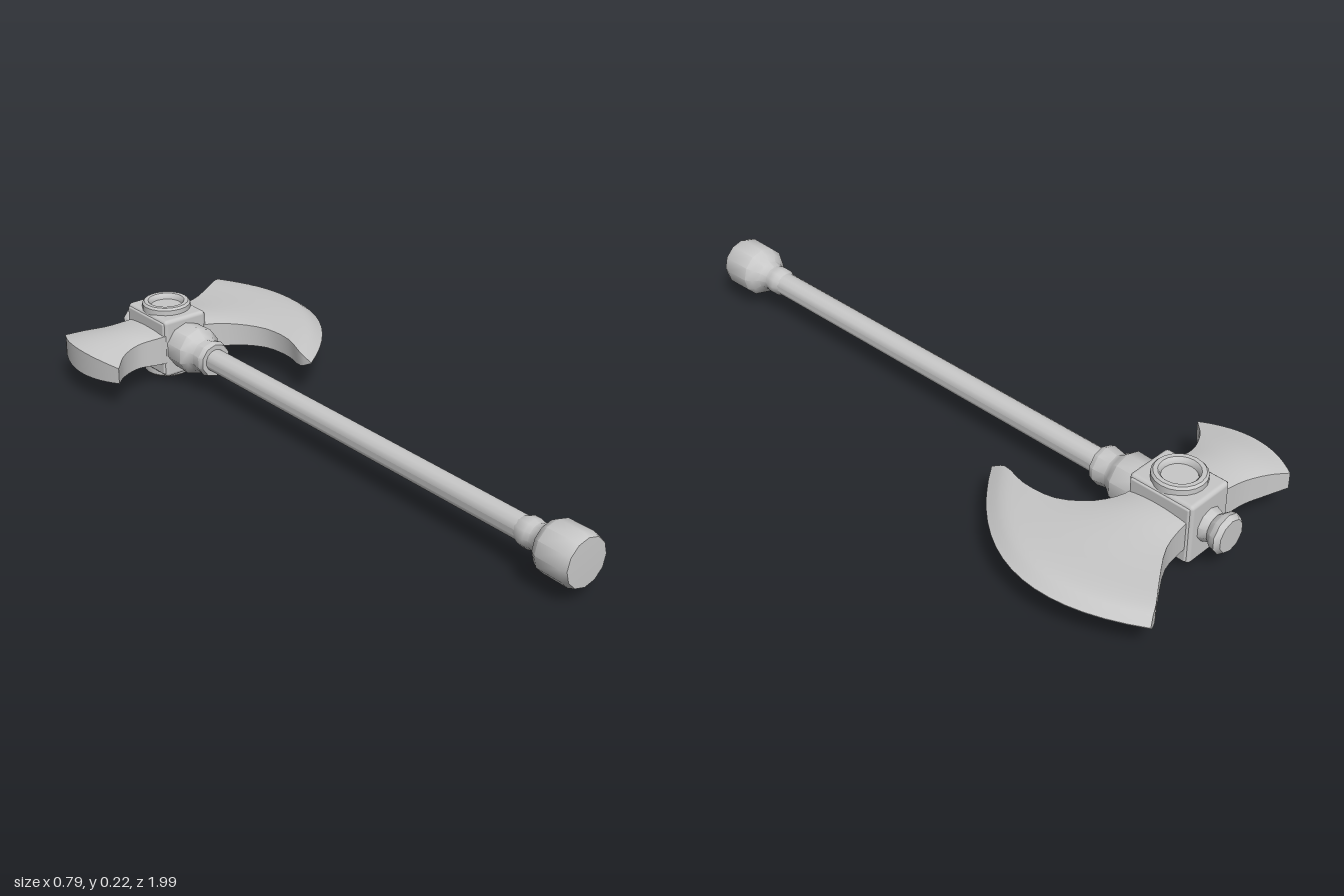
import * as THREE from 'three';
import { toCreasedNormals } from 'three/addons/utils/BufferGeometryUtils.js';
import { RoundedBoxGeometry } from 'three/addons/geometries/RoundedBoxGeometry.js';

const MID_Y = 0.1125;

// Turned part along local z; profile rows are [radius, z]
function turned(profile, sides) {
  const pts = profile.map(([r, s]) => new THREE.Vector2(r, s));
  const g = new THREE.LatheGeometry(pts, sides);
  g.rotateX(Math.PI / 2);
  return toCreasedNormals(g, 0.7);
}

// Blade lofted smoothly from root to edge.
// Section: [upper x,z, middle x,z, lower x,z, half thickness at middle, at rims]
function blade(sections, flip) {
  const n = 16, steps = 18, ring = 2 * (n + 1), pos = [], idx = [];
  // guide lines through the sections, with the half thickness as third coordinate
  const guide = (c, h) => new THREE.CatmullRomCurve3(
    sections.map((s) => new THREE.Vector3(s[c], s[c + 1], s[h])));
  const upper = guide(0, 7), middle = guide(2, 6), lower = guide(4, 7);
  for (let i = 0; i <= steps; i++) {
    const u = upper.getPoint(i / steps), m = middle.getPoint(i / steps), l = lower.getPoint(i / steps);
    const bend = m.clone().multiplyScalar(2).addScaledVector(u, -0.5).addScaledVector(l, -0.5);
    const curve = new THREE.QuadraticBezierCurve3(u, bend, l);
    for (let k = 0; k < ring; k++) {
      const top = k <= n, t = (top ? k : ring - 1 - k) / n;
      const p = curve.getPoint(t);
      pos.push(p.x, top ? p.z : -p.z, p.y);
    }
  }
  const tri = (a, b, c) => (flip ? idx.push(a, c, b) : idx.push(a, b, c));
  const quad = (a, b, c, d) => { tri(a, b, c); tri(a, c, d); };
  for (let i = 0; i < steps; i++) {
    for (let k = 0; k < ring; k++) {
      const a = i * ring + k, b = i * ring + (k + 1) % ring;
      quad(a, b, b + ring, a + ring);
    }
  }
  // close the outer end
  const e = steps * ring;
  for (let j = 0; j < n; j++) quad(e + j, e + j + 1, e + ring - 2 - j, e + ring - 1 - j);
  const g = new THREE.BufferGeometry();
  g.setAttribute('position', new THREE.Float32BufferAttribute(pos, 3));
  g.setIndex(idx);
  return toCreasedNormals(g, 0.8);
}

export function createModel() {
  const model = new THREE.Group();
  model.name = 'battleAxe';
  const steel = new THREE.MeshStandardMaterial({ color: 0xc8c8c8 });
  steel.name = 'plain grey';
  const add = (parent, name, geometry) => {
    const m = new THREE.Mesh(geometry, steel);
    m.name = name;
    parent.add(m);
    return m;
  };

  // Handle and head block share one tilted axis, origin at the block centre
  const shaft = new THREE.Group();
  shaft.name = 'shaftAndHead';
  shaft.position.set(-0.085, MID_Y, -0.685);
  shaft.rotation.y = 0.231;
  model.add(shaft);

  add(shaft, 'handle', turned([[0.035, 0.1], [0.035, 1.56]], 14));
  add(shaft, 'pommel', turned([
    [0.034, 1.5], [0.042, 1.52], [0.042, 1.54], [0.038, 1.555], [0.045, 1.578],
    [0.062, 1.59], [0.074, 1.61], [0.075, 1.69], [0.068, 1.709], [0, 1.711]], 12));
  add(shaft, 'collar', turned([
    [0.07, 0.08], [0.073, 0.165], [0.058, 0.185], [0.05, 0.2],
    [0.056, 0.235], [0.05, 0.25], [0.03, 0.25]], 10));
  add(shaft, 'endCap', turned([
    [0, -0.168], [0.046, -0.168], [0.057, -0.155], [0.054, -0.14],
    [0.04, -0.122], [0.048, -0.1], [0.048, -0.08]], 10));
  add(shaft, 'headBlock', new RoundedBoxGeometry(0.148, 0.182, 0.2, 2, 0.012));

  // Thin socket plates where the blades meet the block
  for (const side of [-1, 1]) {
    const plate = add(shaft, 'socketPlate', new RoundedBoxGeometry(0.02, 0.165, 0.185, 1, 0.005));
    plate.position.x = side * 0.069;
  }

  // Recessed round bosses above and below
  const boss = turned([
    [0.073, 0.07], [0.073, 0.106], [0.067, 0.1125], [0.055, 0.1125],
    [0.049, 0.106], [0.047, 0.096], [0, 0.096]], 20);
  for (const side of [-1, 1]) {
    const m = add(shaft, side > 0 ? 'upperBoss' : 'lowerBoss', boss);
    m.rotation.x = -side * Math.PI / 2;
  }

  // Large crescent blade
  add(model, 'mainBlade', blade([
    [-0.06, -0.78, -0.04, -0.69, -0.02, -0.605, 0.05, 0.042],
    [-0.01, -0.795, 0.015, -0.7, 0.025, -0.614, 0.05, 0.04],
    [0.06, -0.828, 0.10, -0.70, 0.10, -0.592, 0.043, 0.035],
    [0.14, -0.905, 0.22, -0.69, 0.175, -0.525, 0.036, 0.031],
    [0.195, -0.965, 0.31, -0.675, 0.205, -0.43, 0.033, 0.028],
    [0.218, -0.985, 0.355, -0.665, 0.202, -0.34, 0.025, 0.02],
    [0.235, -1.0, 0.391, -0.66, 0.218, -0.302, 0.001, 0.001]], false)).position.y = MID_Y;

  // Short blunt blade
  add(model, 'rearBlade', blade([
    [-0.12, -0.755, -0.11, -0.66, -0.09, -0.58, 0.05, 0.045],
    [-0.19, -0.742, -0.175, -0.66, -0.155, -0.572, 0.05, 0.043],
    [-0.26, -0.736, -0.25, -0.65, -0.225, -0.563, 0.05, 0.038],
    [-0.33, -0.746, -0.325, -0.635, -0.285, -0.52, 0.047, 0.033],
    [-0.385, -0.76, -0.393, -0.615, -0.325, -0.46, 0.037, 0.024]], true)).position.y = MID_Y;

  return model;
}
